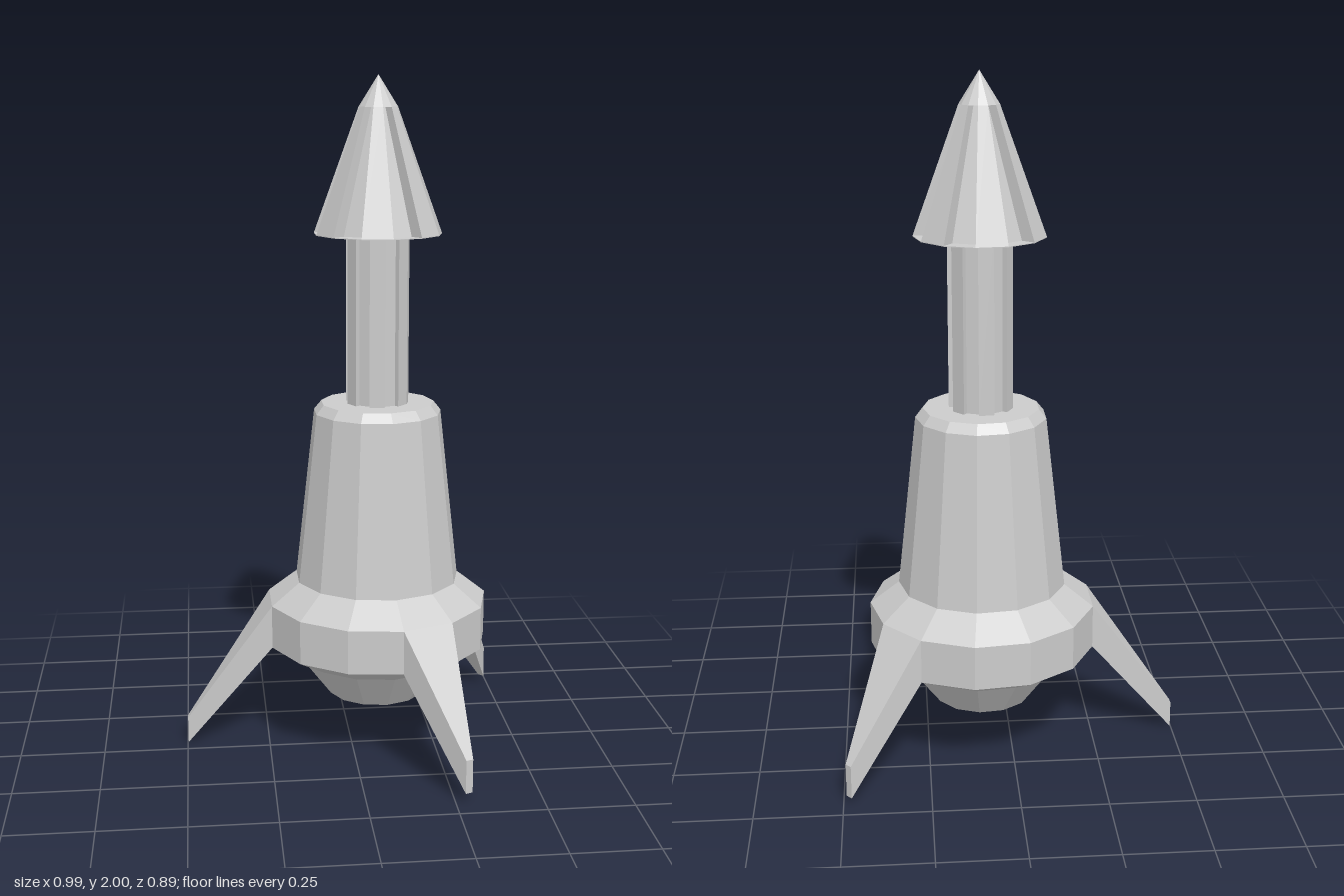
import * as THREE from 'three';

const SIDES = 13;
const STEP = (Math.PI * 2) / SIDES;
const material = new THREE.MeshStandardMaterial({ color: 0xcccccc, flatShading: true });
const thinMaterial = new THREE.MeshStandardMaterial({ color: 0xcccccc, flatShading: true, side: THREE.DoubleSide });

function part(name, geometry, mat = material) {
  const mesh = new THREE.Mesh(geometry, mat);
  mesh.name = name;
  return mesh;
}

// Turned 13-sided form with a corner on +x, profile given as [radius, height] upwards
function turned(profile) {
  return new THREE.LatheGeometry(profile.map(([r, y]) => new THREE.Vector2(r, y)), SIDES, Math.PI / 2);
}

// Closed solid between two rings of points
function loft(a, b) {
  const pos = [];
  const tri = (...pts) => pts.forEach((p) => pos.push(p.x, p.y, p.z));
  const mid = (ring) => ring.reduce((s, p) => s.add(p), new THREE.Vector3()).divideScalar(ring.length);
  const ca = mid(a), cb = mid(b);
  for (let i = 0; i < a.length; i++) {
    const j = (i + 1) % a.length;
    tri(a[i], a[j], b[j]);
    tri(a[i], b[j], b[i]);
    tri(ca, a[j], a[i]);
    tri(cb, b[i], b[j]);
  }
  const geometry = new THREE.BufferGeometry();
  geometry.setAttribute('position', new THREE.Float32BufferAttribute(pos, 3));
  geometry.computeVertexNormals();
  return geometry;
}

// Ring in which every second side is sunk to the inner radius
function groovedRing(outer, inner, y) {
  const ring = [];
  for (let i = 0; i < SIDES; i++) {
    const r = i % 2 === 0 && i < SIDES - 1 ? inner : outer;
    for (const a of [i * STEP, (i + 1) * STEP]) {
      ring.push(new THREE.Vector3(r * Math.cos(a), y, -r * Math.sin(a)));
    }
  }
  return ring;
}

// Tapering leg grown from one side of the base band
function leg(angle, tipX, tipZ, low, high) {
  const half = STEP / 2;
  const ring = (right, left, lo, hi) => [[left, lo], [right, lo], [right, hi], [left, hi]]
    .map(([p, y]) => new THREE.Vector3(p[0], y, p[1]));
  const corner = (a) => [0.333 * Math.cos(a), 0.333 * Math.sin(a)];
  const sx = 0.011 * Math.sin(angle), sz = -0.011 * Math.cos(angle);
  return loft(
    ring(corner(angle - half), corner(angle + half), 0.32, 0.45),
    ring([tipX + sx, tipZ + sz], [tipX - sx, tipZ - sz], low, high),
  );
}

export function createModel() {
  const group = new THREE.Group();
  const rocket = new THREE.Group();
  rocket.name = 'rocket';
  rocket.position.set(0.083, 0, -0.068);
  group.add(rocket);

  // Hull with hollow nozzle, wide base band and tapered body
  rocket.add(part('hull', turned([
    [0, 0.25], [0.146, 0.25], [0.148, 0.15], [0.235, 0.265], [0.333, 0.32], [0.333, 0.45],
    [0.247, 0.515], [0.19, 1.025], [0.168, 1.052], [0, 1.052],
  ])));

  // Grooved neck
  rocket.add(part('neck', loft(groovedRing(0.093, 0.078, 1.04), groovedRing(0.093, 0.078, 1.56))));

  // Nose cone with sunken panels, a base plate and a pointed cap
  rocket.add(part('noseCone', loft(groovedRing(0.188, 0.145, 1.55), groovedRing(0.057, 0.03, 1.91))));
  const plate = part('nosePlate', turned([[0, 1.549], [0.188, 1.549], [0.188, 1.551], [0, 1.551]]), thinMaterial);
  rocket.add(plate);
  rocket.add(part('noseTip', turned([[0, 1.91], [0.057, 1.91], [0, 2]])));

  // Three landing legs
  const legs = [
    ['rightLeg', 6.5, -0.581, 0.01, 0, 0.08],
    ['backLeg', -1.5, 0.401, -0.372, 0.02, 0.12],
    ['frontLeg', 2.5, 0.204, 0.507, 0.03, 0.13],
  ];
  for (const [name, side, x, z, low, high] of legs) {
    rocket.add(part(name, leg(side * STEP, x, z, low, high)));
  }
  return group;
}
